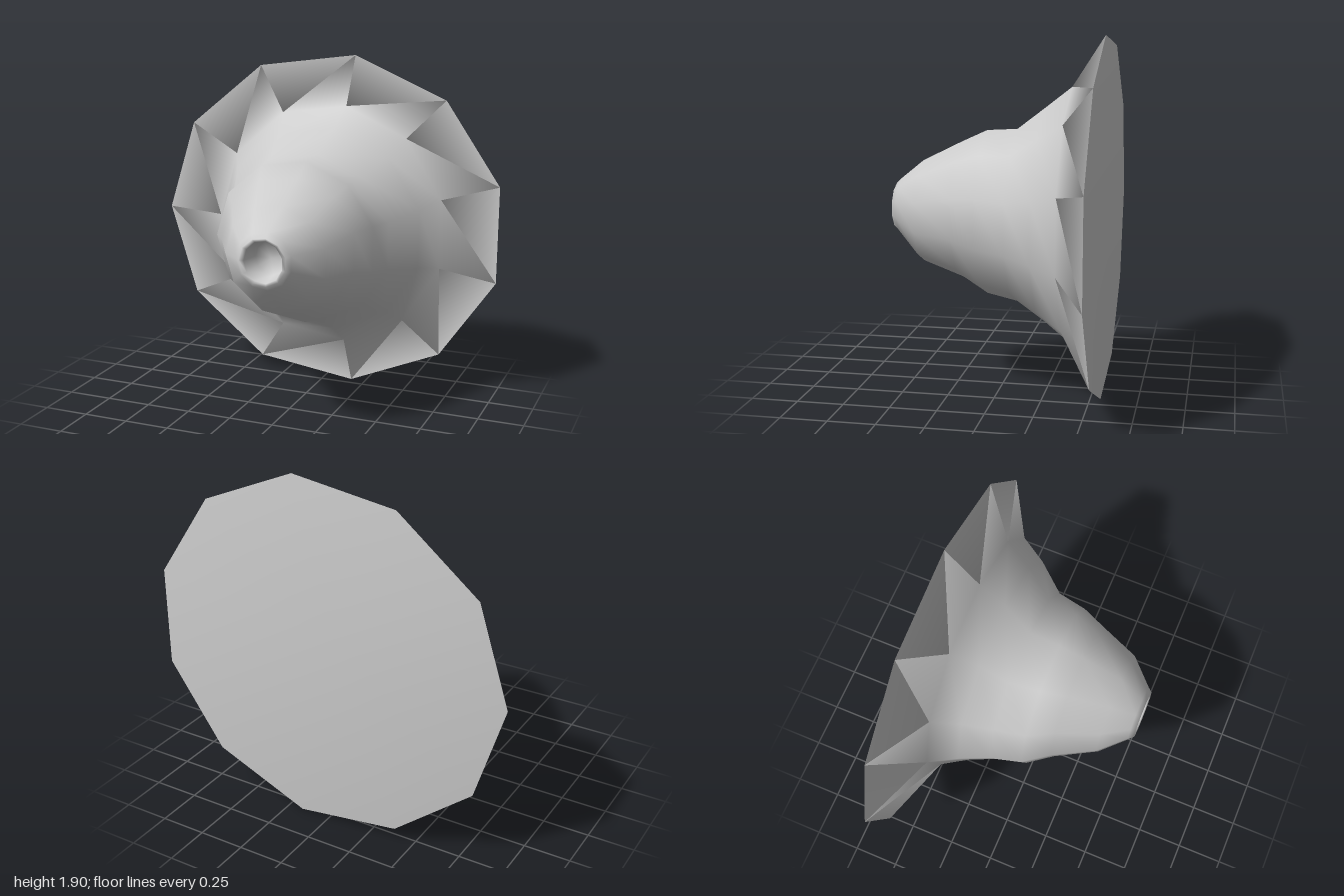
import * as THREE from 'three';
import { mergeVertices } from 'three/addons/utils/BufferGeometryUtils.js';

const SIDES = 11;

// Cross-sections: z, xMin, xMax, yMin, yMax
const SECTIONS = [
  [-0.39, 0.04, 0.04, 0.96, 0.96],   // middle of the dished back
  [-0.555, -1.0, 1.0, 0.0, 1.9],     // wide rim
  [-0.39, -0.59, 0.72, 0.3, 1.64],   // flare
  [-0.25, -0.51, 0.64, 0.41, 1.53],
  [-0.1, -0.44, 0.52, 0.5, 1.415],   // waist
  [0.06, -0.4, 0.485, 0.535, 1.405],
  [0.19, -0.31, 0.43, 0.62, 1.345],
  [0.4, -0.19, 0.355, 0.7, 1.24],    // tapering nose
  [0.53, -0.07, 0.225, 0.84, 1.135],
  [0.555, -0.045, 0.205, 0.865, 1.11],
  [0.55, -0.02, 0.185, 0.88, 1.095], // lip of the opening
  [0.45, 0.0, 0.17, 0.9, 1.075],     // pocket wall
  [0.45, 0.085, 0.085, 0.985, 0.985] // pocket floor
];

// Skins a stack of eleven-sided rings; the first corner points to -x
function loft(sections) {
  const pos = [], index = [];
  for (const [z, x0, x1, y0, y1] of sections) {
    const rx = (x1 - x0) / (1 + Math.cos(Math.PI / SIDES));
    const ry = (y1 - y0) / 1.98;
    for (let k = 0; k < SIDES; k++) {
      const a = Math.PI + (2 * Math.PI * k) / SIDES;
      pos.push(x0 + rx + rx * Math.cos(a), (y0 + y1) / 2 + ry * Math.sin(a), z);
    }
  }
  for (let i = 0; i < sections.length - 1; i++) {
    for (let k = 0; k < SIDES; k++) {
      const n = (k + 1) % SIDES;
      const a = i * SIDES + k, b = i * SIDES + n;
      const c = b + SIDES, d = a + SIDES;
      // the first and last rings are single points
      if (i > 0) index.push(a, b, c);
      if (i < sections.length - 2) index.push(a, c, d);
      if (i === 0) continue;
    }
  }
  let g = new THREE.BufferGeometry();
  g.setAttribute('position', new THREE.Float32BufferAttribute(pos, 3));
  g.setIndex(index);
  g = mergeVertices(g, 1e-4);
  g.computeVertexNormals();
  return g;
}

export function createModel() {
  const group = new THREE.Group();
  const material = new THREE.MeshStandardMaterial({ color: 0xcccccc, side: THREE.DoubleSide });
  const body = new THREE.Mesh(loft(SECTIONS), material);
  body.name = 'flaredBody';
  group.add(body);
  return group;
}
